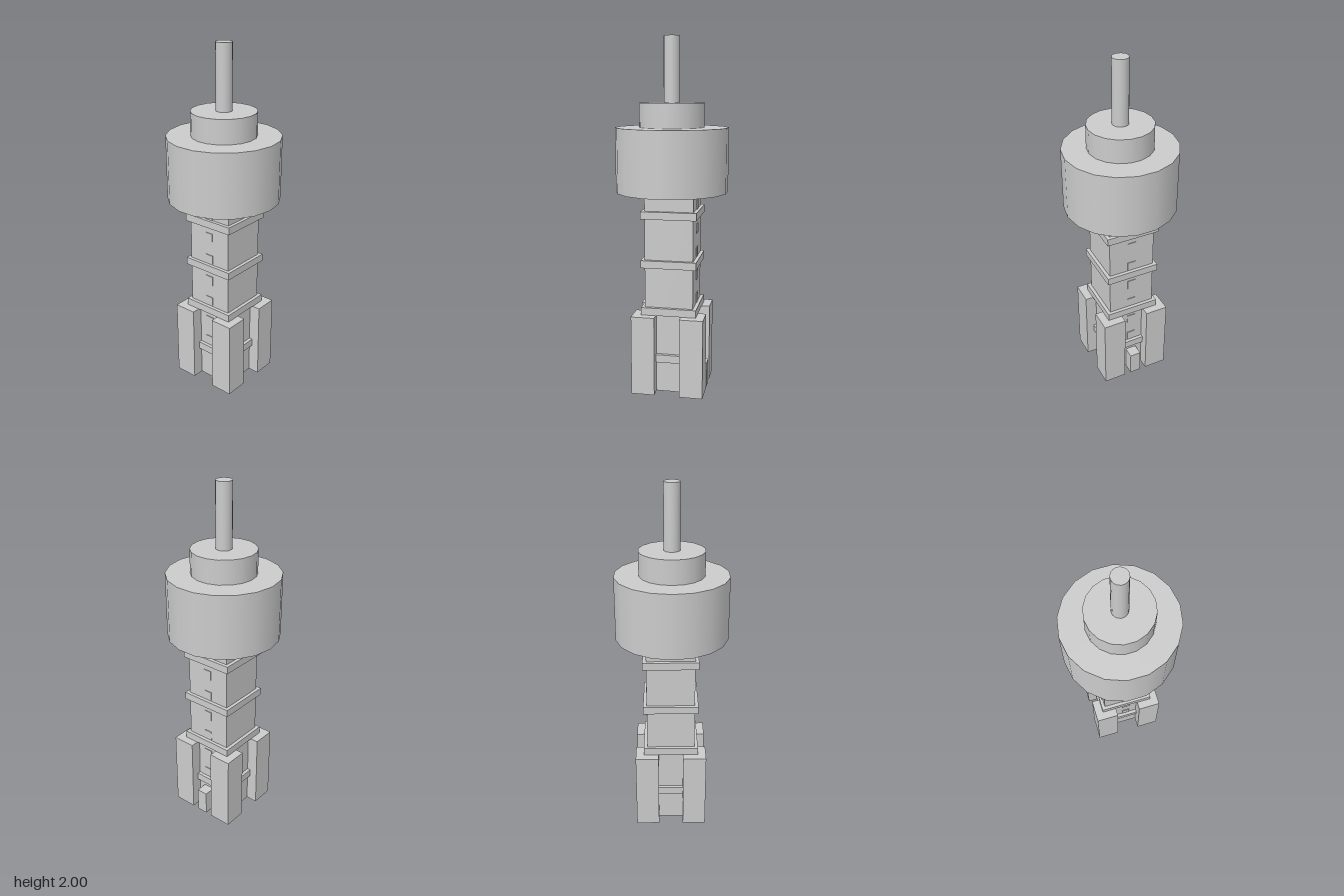
import * as THREE from 'three';

export function createModel() {
  const tower = new THREE.Group();
  tower.name = 'tower';
  const material = new THREE.MeshStandardMaterial({ color: 0xcccccc });

  const add = (parent, name, geometry, x, y, z) => {
    const mesh = new THREE.Mesh(geometry, material);
    mesh.name = name;
    mesh.position.set(x, y, z);
    parent.add(mesh);
  };
  // Box given by its bottom and top heights
  const box = (parent, name, w, d, y0, y1, x = 0, z = 0) =>
    add(parent, name, new THREE.BoxGeometry(w, y1 - y0, d), x, (y0 + y1) / 2, z);
  // Upright 18-sided cylinder with a corner on the x axis
  const drum = (name, r, y0, y1) =>
    add(tower, name, new THREE.CylinderGeometry(r, r, y1 - y0, 18, 1, false, Math.PI / 2),
      0, (y0 + y1) / 2, 0);

  // Square shaft, set slightly back from the round top
  const lower = new THREE.Group();
  lower.name = 'lowerTower';
  lower.position.z = -0.008;
  tower.add(lower);
  box(lower, 'shaft', 0.274, 0.274, 0, 1.145);

  // Ledges around the shaft
  for (const [y0, y1] of [[0.18, 0.225], [0.457, 0.5], [0.73, 0.773], [1.007, 1.05]]) {
    box(lower, 'ledge', 0.314, 0.314, y0, y1);
  }

  // Corner buttresses
  for (const sx of [-1, 1]) {
    for (const sz of [-1, 1]) {
      box(lower, 'buttress', 0.133, 0.133, 0, 0.457, sx * 0.1375, sz * 0.1375);
    }
  }

  // Column of small windows on the front and back
  for (const side of [-1, 1]) {
    for (let i = 0; i < 7; i++) {
      const y = 0.26 + i * 0.136;
      box(lower, 'window', 0.05, 0.02, y - 0.027, y + 0.027, 0, side * 0.131);
    }
  }

  // Entrance block at the back
  box(lower, 'entrance', 0.065, 0.08, 0, 0.145, 0, -0.164);

  // Round top and mast
  drum('drum', 0.317, 1.145, 1.505);
  drum('upperDrum', 0.182, 1.505, 1.64);
  drum('mast', 0.045, 1.64, 2);

  return tower;
}
